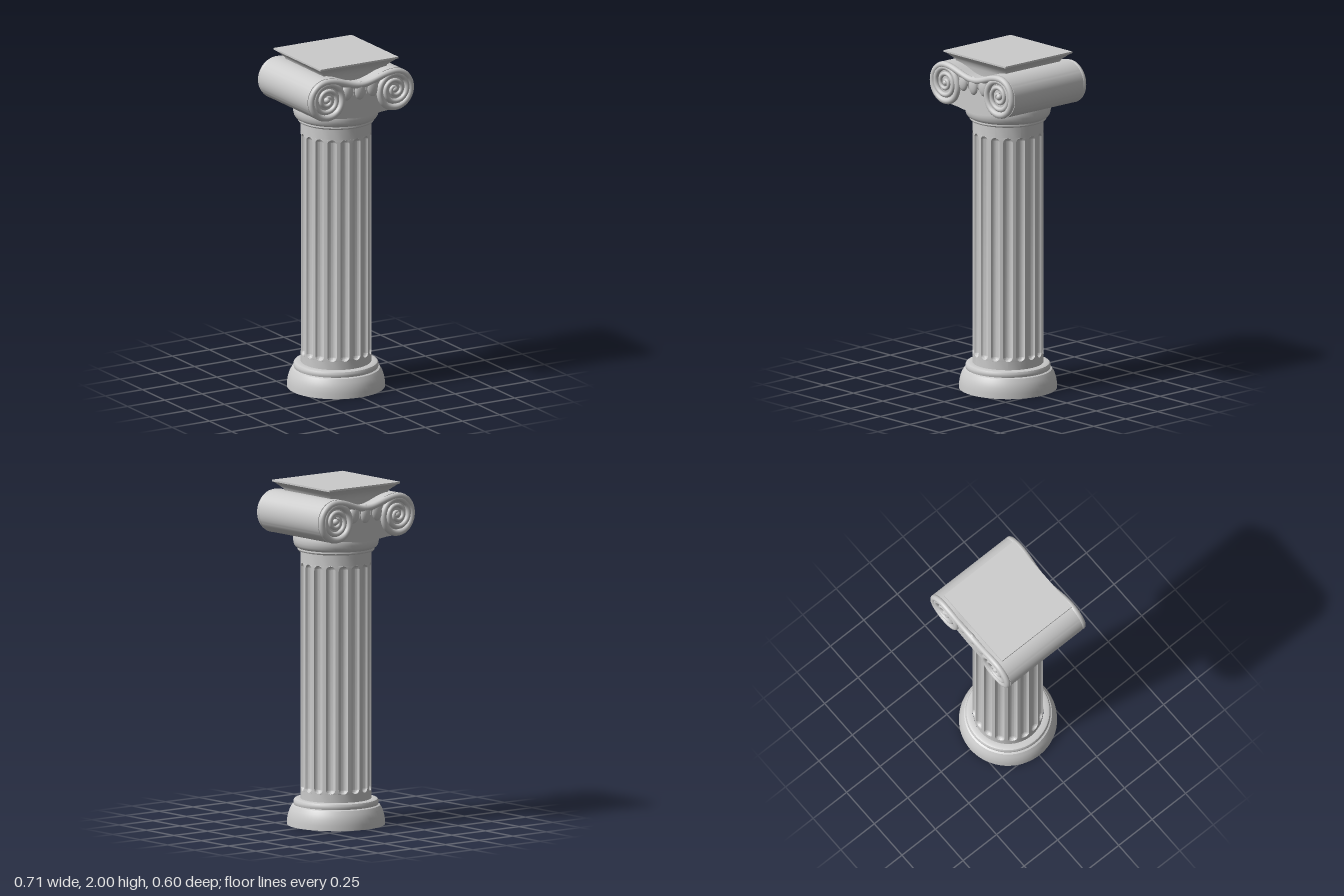
import * as THREE from 'three';
import { toCreasedNormals } from 'three/addons/utils/BufferGeometryUtils.js';

const material = new THREE.MeshStandardMaterial({ color: 0xcccccc, side: THREE.DoubleSide });
const VX = 0.227, VY = 1.816, VR = 0.125; // volute centre and radius

function add(parent, name, geometry, crease = 0.6) {
  const mesh = new THREE.Mesh(crease ? toCreasedNormals(geometry, crease) : geometry, material);
  mesh.name = name;
  parent.add(mesh);
  return mesh;
}

const lathe = (profile, sides = 64) =>
  new THREE.LatheGeometry(profile.map(([r, y]) => new THREE.Vector2(r, y)), sides);

// Fluted shaft: a lathe whose columns follow the edges of round-ended flutes
function shaftGeometry() {
  const R = 0.204, FLUTES = 17, STEPS = 14, HALF = 0.028, DEPTH = 0.022;
  const LOW = 0.2, HIGH = 1.53, PHASE = THREE.MathUtils.degToRad(5);
  const rows = [[0.15, 0]];
  for (let i = 0; i <= 8; i++) {
    const a = (i / 8) * Math.PI / 2;
    rows.push([LOW + HALF * (1 - Math.cos(a)), Math.sin(a)]);
  }
  for (let i = 8; i >= 0; i--) {
    const a = (i / 8) * Math.PI / 2;
    rows.push([HIGH - HALF * (1 - Math.cos(a)), Math.sin(a)]);
  }
  rows.push([1.6, 0]);
  const geometry = lathe(rows.map(([y]) => [R, y]), FLUTES * STEPS);
  const pos = geometry.attributes.position;
  const pitch = (2 * Math.PI) / FLUTES;
  for (let i = 0; i < pos.count; i++) {
    const column = Math.floor(i / rows.length);
    const open = rows[i % rows.length][1];
    const flute = Math.floor(column / STEPS), k = column % STEPS;
    let angle = PHASE + (flute - 0.5) * pitch, r = R;
    if (k > 0) {
      const a = ((k - 1) / (STEPS - 2)) * Math.PI;
      const width = Math.max(open, 0.02) * HALF / R;
      angle = PHASE + flute * pitch - width * Math.cos(a);
      r = R - DEPTH * open * Math.sin(a);
    }
    pos.setX(i, r * Math.sin(angle));
    pos.setZ(i, r * Math.cos(angle));
  }
  return geometry;
}

// Cushion outline: two rolls joined by a sagging top and a bellied underside
function cushionGeometry() {
  const pts = [];
  const arc = [];
  for (let i = 0; i <= 40; i++) {
    const a = THREE.MathUtils.degToRad(95 - (i / 40) * 195);
    arc.push(new THREE.Vector2(VX + VR * Math.cos(a), VY + VR * Math.sin(a)));
  }
  const mirrored = arc.map(p => new THREE.Vector2(-p.x, p.y)).reverse();
  const join = (a, b, midY) => {
    for (let i = 1; i < 20; i++) {
      const t = i / 20, s = Math.sin(Math.PI * t) ** 2;
      pts.push(new THREE.Vector2(a.x + (b.x - a.x) * t, a.y + (midY - a.y) * s));
    }
  };
  pts.push(...arc);
  join(arc[40], mirrored[0], 1.675);
  pts.push(...mirrored);
  join(mirrored[40], arc[0], 1.885);
  const geometry = new THREE.ExtrudeGeometry(new THREE.Shape(pts), { depth: 0.536, bevelEnabled: false });
  return geometry.translate(0, 0, -0.268);
}

// Raised moulding: from the middle of the band over the roll and into the spiral
function scrollGeometry(sx, sz) {
  const pts = [];
  for (let i = 0; i < 8; i++) {
    const t = i / 8, s = (1 - Math.cos(Math.PI * t)) / 2;
    pts.push(new THREE.Vector3(sx * VX * t, 1.872 + (VY + 0.107 - 1.872) * s, sz * (0.271 + 0.009 * s)));
  }
  for (let i = 0; i <= 84; i++) {
    const turns = (i / 84) * 3;
    const a = Math.PI / 2 - turns * 2 * Math.PI;
    const r = 0.107 - 0.092 * Math.max(0, turns - 0.6) / 2.4;
    pts.push(new THREE.Vector3(sx * (VX + r * Math.cos(a)), VY + r * Math.sin(a), sz * 0.28));
  }
  const curve = new THREE.CatmullRomCurve3(pts);
  const SEG = 220, SIDES = 12;
  const geometry = new THREE.TubeGeometry(curve, SEG, 0.019, SIDES);
  // taper toward the eye of the spiral
  const pos = geometry.attributes.position, v = new THREE.Vector3();
  for (let i = 0; i < pos.count; i++) {
    const t = Math.floor(i / (SIDES + 1)) / SEG;
    const c = curve.getPointAt(t);
    v.fromBufferAttribute(pos, i).sub(c).multiplyScalar(1 - 0.45 * Math.max(0, t - 0.4) / 0.6).add(c);
    pos.setXYZ(i, v.x, v.y, v.z);
  }
  return geometry;
}

export function createModel() {
  const column = new THREE.Group();
  column.name = 'column';

  // Hollow base with a ring on top
  add(column, 'base', lathe([
    [0.283, 0], [0.282, 0.03], [0.277, 0.06], [0.267, 0.09], [0.254, 0.112], [0.243, 0.117],
    [0.246, 0.127], [0.245, 0.138], [0.24, 0.148], [0.23, 0.152], [0.204, 0.152],
  ]));
  add(column, 'shaft', shaftGeometry());

  // Bowl under the capital
  add(column, 'echinus', lathe([
    [0.204, 1.595], [0.218, 1.598], [0.223, 1.606], [0.222, 1.615], [0.235, 1.622], [0.243, 1.635],
    [0.247, 1.655], [0.247, 1.675], [0.243, 1.69], [0.19, 1.7], [0, 1.7],
  ]));

  const capital = new THREE.Group();
  capital.name = 'capital';
  column.add(capital);
  add(capital, 'cushion', cushionGeometry());

  for (const sz of [1, -1]) {
    const face = sz > 0 ? 'front' : 'back';
    for (const sx of [1, -1]) {
      add(capital, face + 'Scroll', scrollGeometry(sx, sz), 0);
      const eye = add(capital, face + 'ScrollEye', new THREE.SphereGeometry(0.018, 20, 14), 0);
      eye.position.set(sx * VX, VY, sz * 0.278);
      // Darts between the eggs
      const dart = add(capital, face + 'Dart', new THREE.ConeGeometry(0.009, 0.06, 8));
      dart.rotation.x = Math.PI;
      dart.position.set(sx * 0.042, 1.84, sz * 0.27);
    }
    // Row of three eggs below the band
    for (const i of [-1, 0, 1]) {
      const egg = add(capital, face + 'Egg', new THREE.SphereGeometry(1, 24, 16), 0);
      egg.scale.set(0.035, 0.055, 0.022);
      egg.position.set(i * 0.083, 1.84 + Math.abs(i) * 0.006, sz * 0.268);
      egg.rotation.z = i * 0.15;
    }
  }

  // Square top slab with flared sides
  const q = Math.SQRT2;
  const slab = lathe([
    [0.2, 1.85], [0.205, 1.92], [0.215, 1.95], [0.23, 1.965], [0.252, 1.985], [0.262, 1.99], [0.262, 2], [0, 2],
  ].map(([r, y]) => [r * q, y]), 4);
  slab.rotateY(Math.PI / 4);
  add(capital, 'abacus', slab);

  return column;
}
